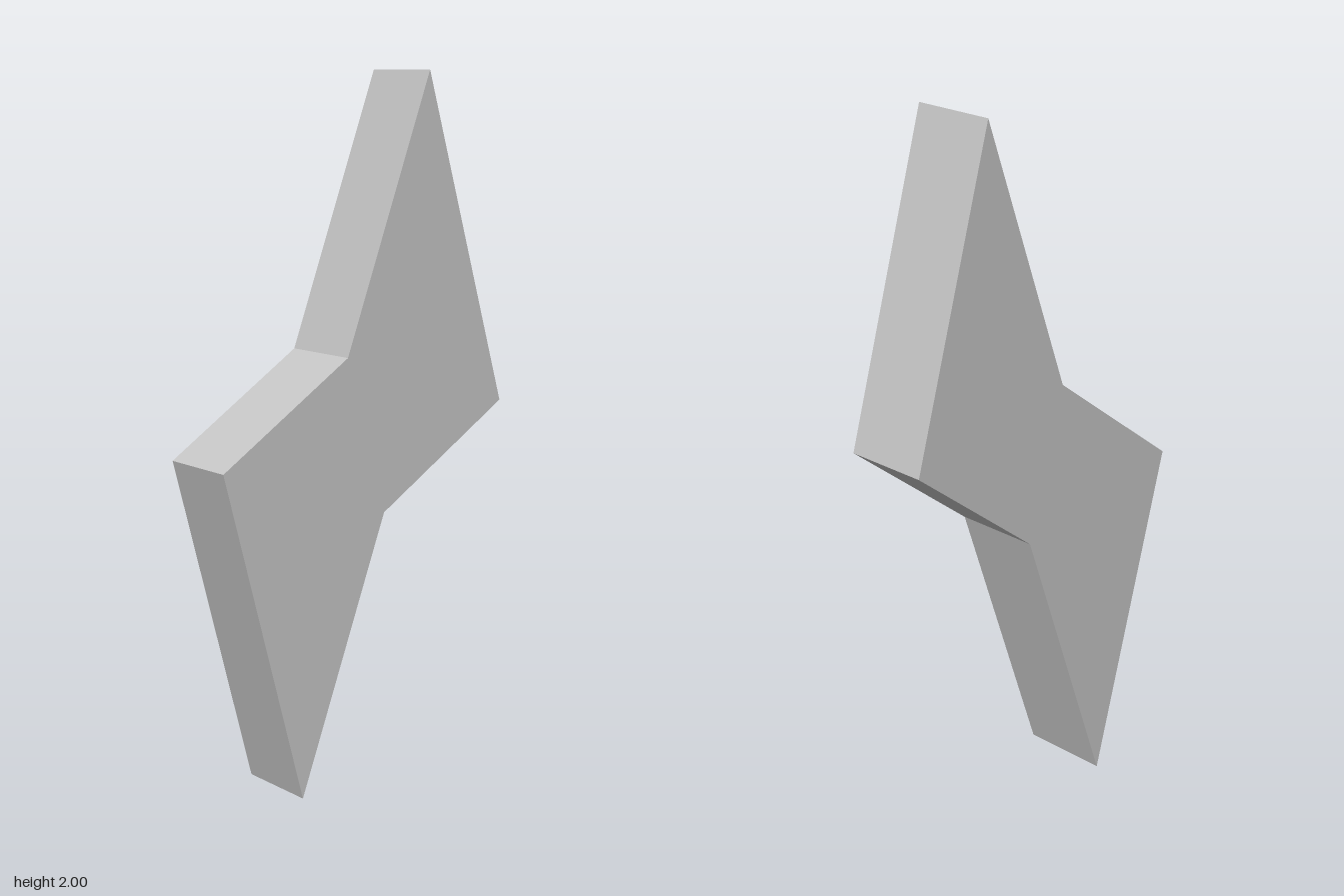
import * as THREE from 'three';

export function createModel() {
  const group = new THREE.Group();
  group.name = 'lightningBolt';

  const grey = new THREE.MeshStandardMaterial({ color: 0xc4c4c4 });
  grey.name = 'light grey';

  // Half of the outline; the other half is the same turned 180 degrees about (0, 1)
  const half = [[0.208, 2], [-0.06, 1.22], [-0.455, 0.932]];
  const outline = [...half, ...half.map(([x, y]) => [-x, 2 - y])];
  const shape = new THREE.Shape(outline.map(([x, y]) => new THREE.Vector2(x, y)));

  // Flat bolt of even thickness, centred on z
  const depth = 0.28;
  const geometry = new THREE.ExtrudeGeometry(shape, { depth, bevelEnabled: false });
  geometry.translate(0, 0, -depth / 2);

  const bolt = new THREE.Mesh(geometry, grey);
  bolt.name = 'bolt';
  group.add(bolt);
  return group;
}
